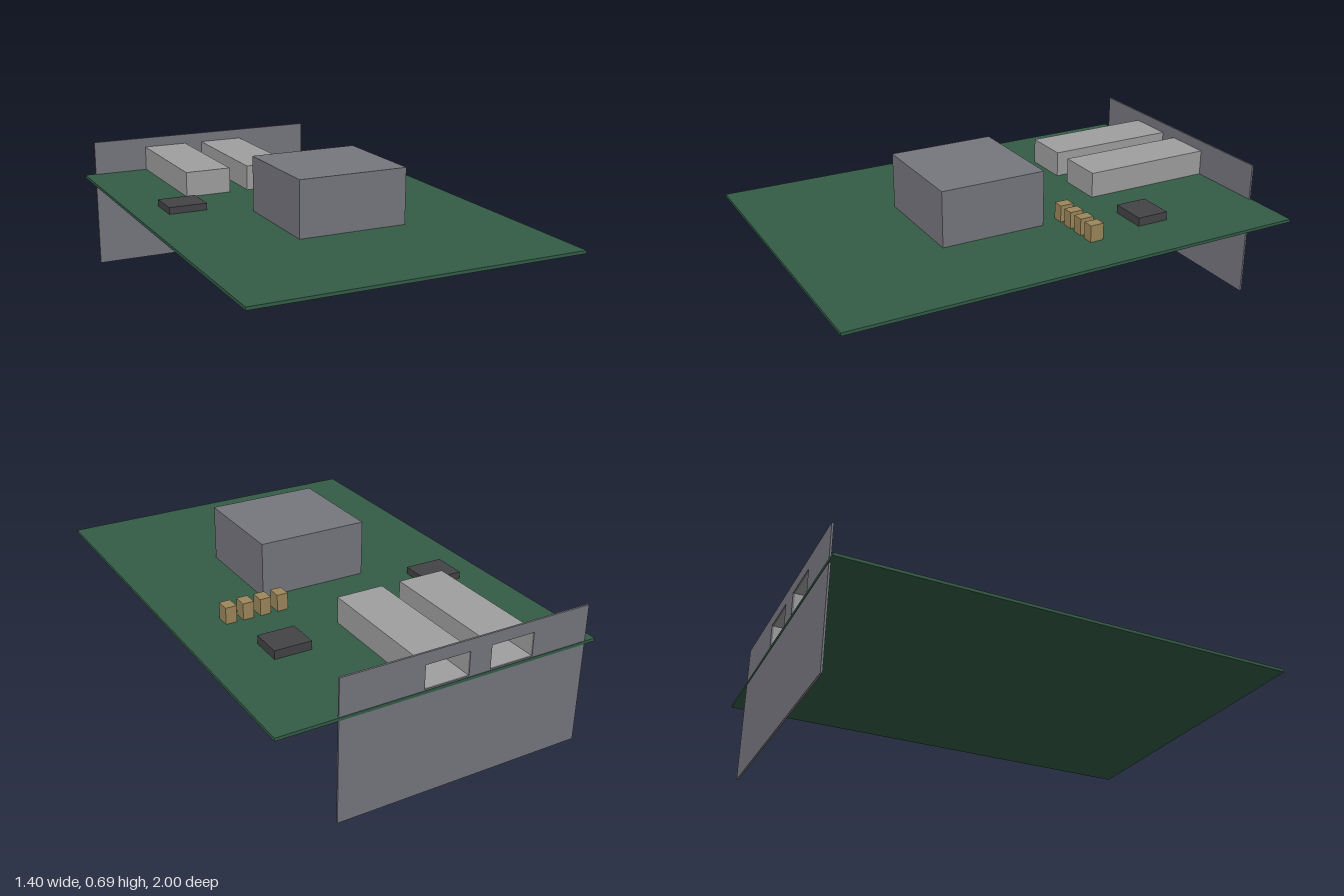
import * as THREE from 'three';

const paint = (name, color) => {
  const m = new THREE.MeshStandardMaterial({ color });
  m.name = name;
  return m;
};

export function createModel() {
  const green = paint('board green', 0x335c46);
  const steel = paint('steel grey', 0x76767e);
  const silver = paint('light metal', 0x9f9f9f);
  const black = paint('chip black', 0x434246);
  const tan = paint('capacitor tan', 0x9c875a);

  const model = new THREE.Group();
  model.name = 'expansionCard';

  // Box given by its extents along each axis
  const box = (name, mat, [x0, x1], [y0, y1], [z0, z1], parent = model) => {
    const mesh = new THREE.Mesh(new THREE.BoxGeometry(x1 - x0, y1 - y0, z1 - z0), mat);
    mesh.position.set((x0 + x1) / 2, (y0 + y1) / 2, (z0 + z1) / 2);
    mesh.name = name;
    parent.add(mesh);
  };
  const rect = (path, x0, x1, y0, y1) => {
    path.moveTo(x0, y0).lineTo(x1, y0).lineTo(x1, y1).lineTo(x0, y1).closePath();
    return path;
  };

  const top = 0.45; // upper face of the board
  const cageTop = 0.562;
  const wall = 0.006;
  const cages = [[-0.397, -0.19], [-0.105, 0.102]];

  // Circuit board
  box('board', green, [-0.7, 0.7], [0.437, top], [-1, 1]);

  // Rear bracket with one opening per port
  const plate = rect(new THREE.Shape(), -0.65, 0.45, 0, 0.607);
  for (const [x0, x1] of cages) {
    plate.holes.push(rect(new THREE.Path(), x0 + wall, x1 - wall, top + wall, cageTop - wall));
  }
  const bracket = new THREE.Mesh(
    new THREE.ExtrudeGeometry(plate, { depth: 0.008, bevelEnabled: false }), steel);
  bracket.position.z = -0.998;
  bracket.name = 'bracket';
  model.add(bracket);

  // Hollow port cages, open at the bracket and closed at the inner end
  for (const [x0, x1] of cages) {
    const cage = new THREE.Group();
    cage.name = 'portCage';
    const section = rect(new THREE.Shape(), x0, x1, top, cageTop);
    section.holes.push(rect(new THREE.Path(), x0 + wall, x1 - wall, top + wall, cageTop - wall));
    const sleeve = new THREE.Mesh(
      new THREE.ExtrudeGeometry(section, { depth: 0.584, bevelEnabled: false }), silver);
    sleeve.position.z = -0.99;
    sleeve.name = 'cageSleeve';
    cage.add(sleeve);
    box('cageEnd', silver, [x0, x1], [top, cageTop], [-0.406, -0.4], cage);
    model.add(cage);
  }

  // Heat sink block over the main processor
  box('heatSink', steel, [-0.22, 0.258], [top, 0.69], [-0.06, 0.4]);

  // Small chips
  box('rightChip', black, [-0.562, -0.392], [top, 0.48], [-0.31, -0.16]);
  box('leftChip', black, [0.297, 0.457], [top, 0.487], [-0.54, -0.4]);

  // Row of capacitors
  for (let i = 0; i < 4; i++) {
    const x = 0.241 + i * 0.0765;
    box('capacitor', tan, [x - 0.024, x + 0.024], [top, 0.522], [-0.2, -0.14]);
  }

  return model;
}
